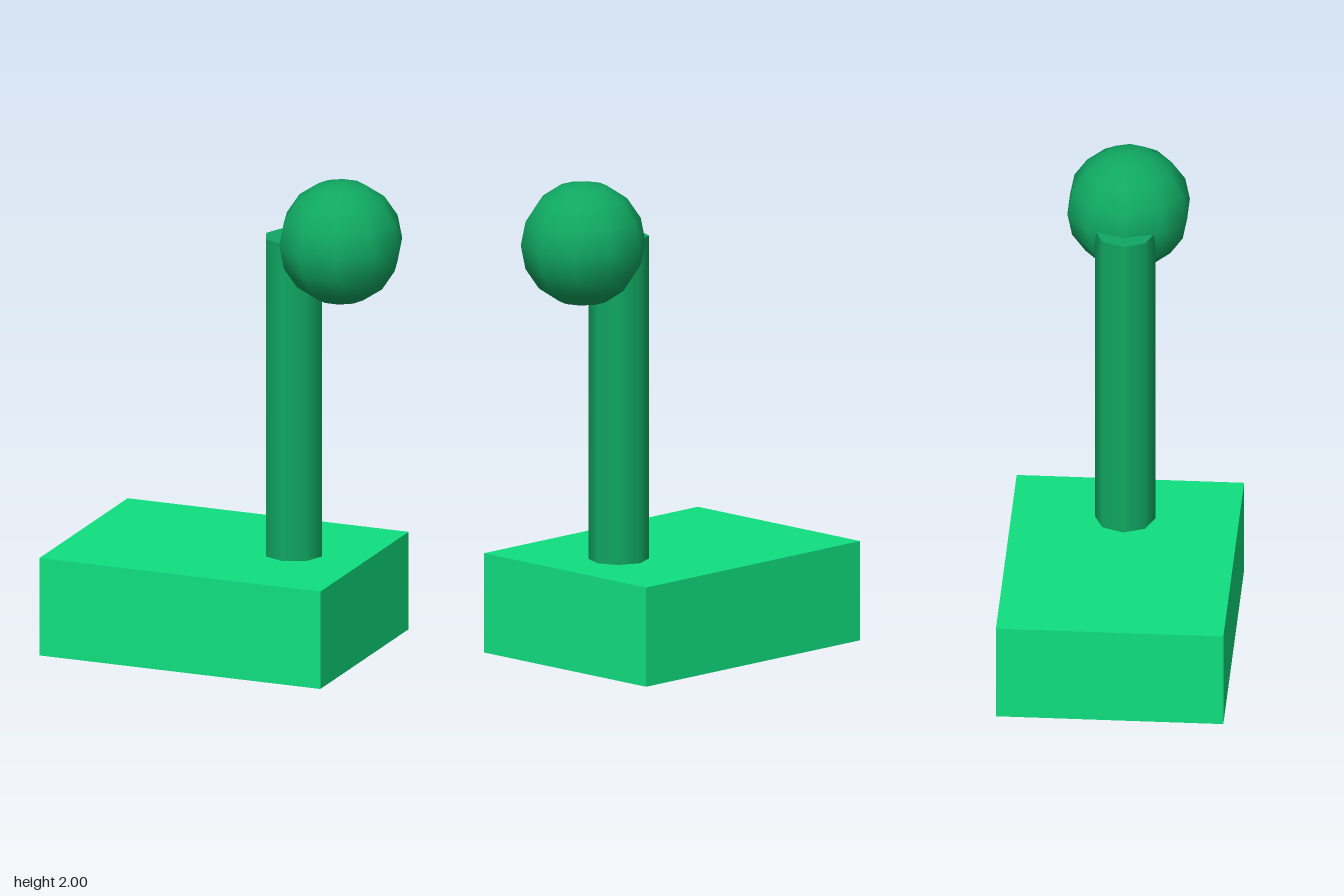
import * as THREE from 'three';

export function createModel() {
  const group = new THREE.Group();
  const add = (name, geometry, color, x, y, z) => {
    const mesh = new THREE.Mesh(geometry, new THREE.MeshStandardMaterial({ color }));
    mesh.name = name;
    mesh.position.set(x, y, z);
    group.add(mesh);
  };
  const bright = 0x10e080, deep = 0x10a862;

  // Block the lever stands on
  add('base', new THREE.BoxGeometry(1.23, 0.41, 0.92), bright, -0.077, 0.205, 0);

  // Eight-sided post, a corner facing each side
  add('post', new THREE.CylinderGeometry(0.122, 0.122, 1.335, 8), deep, 0.23, 1.078, 0);

  // Ball knob, offset from the post top
  add('knob', new THREE.SphereGeometry(0.255, 10, 8), deep, 0.434, 1.745, 0);

  return group;
}
